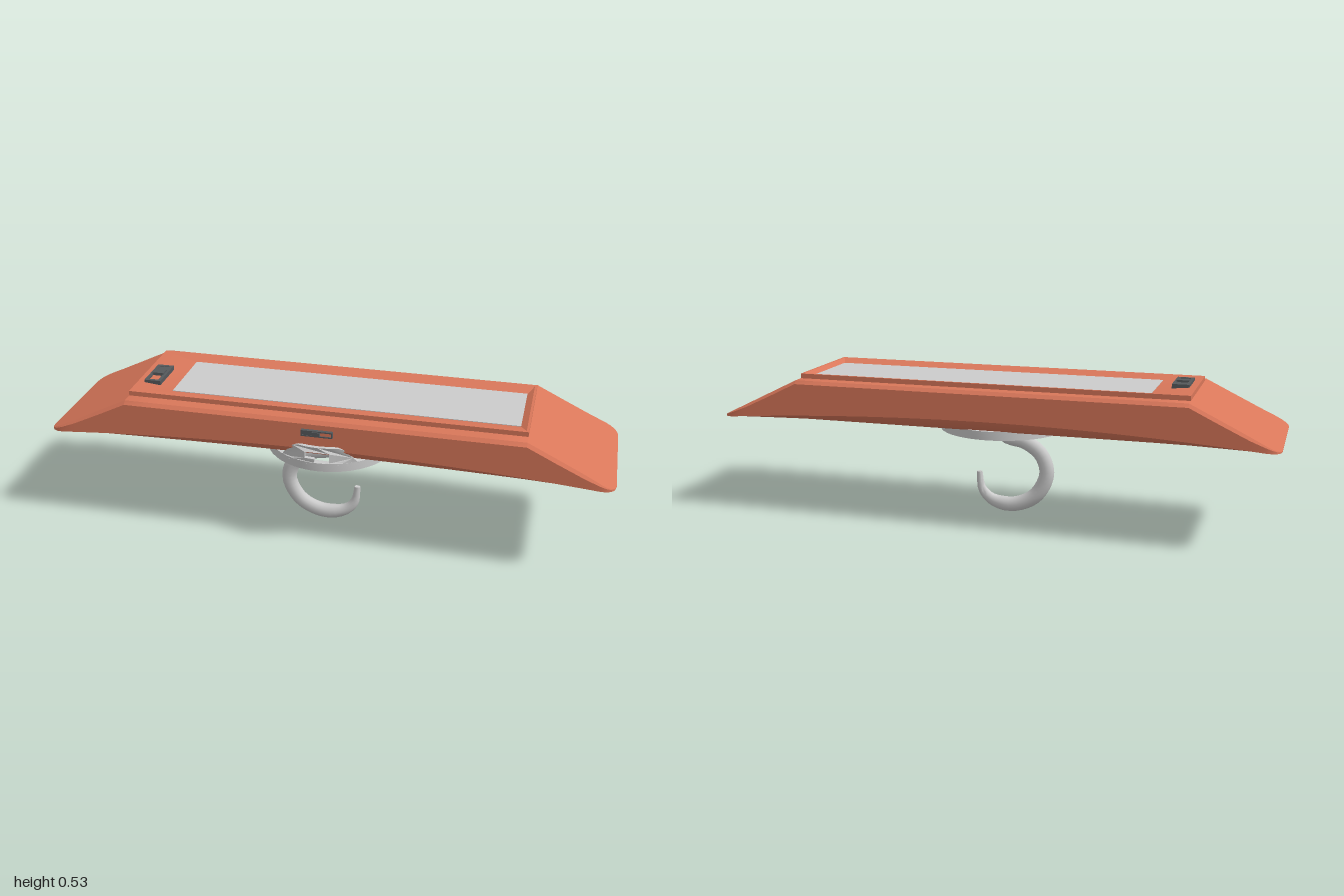
import * as THREE from 'three';
import { toCreasedNormals } from 'three/addons/utils/BufferGeometryUtils.js';

const paint = (color) => new THREE.MeshStandardMaterial({ color, side: THREE.DoubleSide });
const orange = paint(0xd9775a);
const dark = paint(0x55595c);
const grey = paint(0xcccccc);

function add(parent, name, geometry, material) {
  const mesh = new THREE.Mesh(geometry, material);
  mesh.name = name;
  parent.add(mesh);
  return mesh;
}

// Skin closed loops of equal point counts, optionally capping both ends
function loft(loops, caps, crease) {
  const n = loops[0].length;
  const index = [];
  for (let i = 0; i < loops.length - 1; i++) {
    for (let j = 0; j < n; j++) {
      const a = i * n + j, b = i * n + (j + 1) % n;
      index.push(a, b, a + n, b, b + n, a + n);
    }
  }
  if (caps) {
    const e = (loops.length - 1) * n;
    for (let j = 1; j < n - 1; j++) index.push(0, j + 1, j, e, e + j, e + j + 1);
  }
  const geo = new THREE.BufferGeometry();
  geo.setAttribute('position', new THREE.Float32BufferAttribute(loops.flat(2), 3));
  geo.setIndex(index);
  return toCreasedNormals(geo, crease);
}

// Housing: cross-sections along x, sloped ends, rounded corners, arched lower edges
function housingGeometry() {
  const half = [0, 0.15, 0.3, 0.45, 0.58, 0.7, 0.7001, 0.8, 0.9, 0.95, 0.97, 0.985, 0.995, 1];
  const xs = [...half.slice(1).reverse().map((x) => -x), ...half];
  const loops = xs.map((x) => {
    const a = Math.abs(x);
    const top = 0.353 + Math.min(0.147, 0.49 * (1 - a));
    const t = Math.max(0, (a - 0.95) / 0.05);
    const w = 0.24 - 0.05 * (1 - Math.sqrt(Math.max(0, 1 - t * t)));
    const lift = Math.min(0.045 * (1 - x * x), (top - 0.35) * 0.5);
    const r = Math.min(0.012, (top - 0.35) * 0.2);
    const side = [
      [w - r, top], [w, top - r], [w, 0.35 + lift], [w - 0.02, 0.35 + lift * 0.4], [w - 0.06, 0.35],
    ];
    const right = side.map(([z, y]) => [x, y, z - 0.01]);
    const left = side.map(([z, y]) => [x, y, -z - 0.01]).reverse();
    return [...left, ...right];
  });
  return loft(loops, true, 0.6);
}

// Raised bezel sinking to the panel
function bezelGeometry() {
  const rect = (x0, x1, z0, z1, y) => [[x0, y, z0], [x0, y, z1], [x1, y, z1], [x1, y, z0]];
  return loft([
    rect(-0.7, 0.7, -0.196, 0.176, 0.495),
    rect(-0.7, 0.7, -0.196, 0.176, 0.517),
    rect(-0.692, 0.692, -0.188, 0.168, 0.517),
    rect(-0.56, 0.67, -0.145, 0.115, 0.504),
  ], false, 0.3);
}

// Slide switch lying in the xy plane, raised along +z, long side along x
function slideSwitch(name, length, width, height) {
  const group = new THREE.Group();
  group.name = name;
  const l = length / 2, w = width / 2;
  const rim = width * 0.2;
  const shape = new THREE.Shape([[-l, -w], [l, -w], [l, w], [-l, w]].map((p) => new THREE.Vector2(...p)));
  shape.holes.push(new THREE.Path(
    [[-l + rim, -w + rim], [-l + rim, w - rim], [l - rim, w - rim], [l - rim, -w + rim]].map((p) => new THREE.Vector2(...p))));
  add(group, 'switchFrame', new THREE.ExtrudeGeometry(shape, { depth: height, bevelEnabled: false }), dark);
  add(group, 'switchSlot', new THREE.BoxGeometry(length - rim, width - rim, height * 0.7), orange).position.z = height * 0.35;
  add(group, 'switchRest', new THREE.BoxGeometry(l * 0.8, width - rim, height * 0.9), dark).position.set(-l * 0.5, 0, height * 0.45);
  add(group, 'switchKnob', new THREE.BoxGeometry(l * 0.5, width * 0.7, height * 1.3), dark).position.set(-l * 0.05, 0, height * 0.65);
  return group;
}

// Curved front tab with a slot, bent around the ring
function tabGeometry() {
  const R = 0.23, cut = 8;
  const pts = [];
  for (let i = 0; i <= cut; i++) pts.push(new THREE.Vector2(-0.14 + 0.28 * i / cut, 0.345));
  pts.push(new THREE.Vector2(0.12, 0.37), new THREE.Vector2(0.09, 0.405));
  for (let i = 0; i <= cut; i++) pts.push(new THREE.Vector2(0.07 - 0.14 * i / cut, 0.412));
  pts.push(new THREE.Vector2(-0.09, 0.405), new THREE.Vector2(-0.12, 0.37));
  const shape = new THREE.Shape(pts);
  shape.holes.push(new THREE.Path([
    [-0.045, 0.367], [-0.045, 0.39], [0.042, 0.39], [0.042, 0.355], [-0.01, 0.355], [-0.01, 0.367],
  ].map((p) => new THREE.Vector2(...p))));
  const geo = new THREE.ExtrudeGeometry(shape, { depth: 0.014, bevelEnabled: false }).toNonIndexed();
  const p = geo.attributes.position;
  for (let i = 0; i < p.count; i++) {
    const r = R - 0.014 + p.getZ(i);
    p.setZ(i, Math.sqrt(r * r - p.getX(i) ** 2));
  }
  return toCreasedNormals(geo, 0.5);
}

// Hook: tube along a curve, tapered towards its tip
function hookGeometry() {
  const path = [[0.01, 0.35], [0.01, 0.31], [-0.01, 0.285], [-0.08, 0.268], [-0.14, 0.225], [-0.162, 0.155],
    [-0.13, 0.08], [-0.085, 0.045], [-0.02, 0.028], [0.05, 0.043], [0.085, 0.08], [0.095, 0.145]];
  const curve = new THREE.CatmullRomCurve3(path.map(([x, y]) => new THREE.Vector3(x, y, 0)));
  const segs = 36, sides = 12;
  const geo = new THREE.TubeGeometry(curve, segs, 0.028, sides);
  const p = geo.attributes.position;
  const v = new THREE.Vector3();
  for (let i = 0; i < p.count; i++) {
    const ring = Math.floor(i / (sides + 1));
    const t = Math.min(ring, segs - 1) / (segs - 1);
    const c = curve.getPointAt(ring >= segs - 1 ? 1 : ring / segs);
    const c0 = curve.getPointAt(ring / segs);
    const k = ring === segs ? 0 : t > 0.78 ? 1 - 0.6 * (t - 0.78) / 0.22 : 1;
    v.fromBufferAttribute(p, i).sub(c0).multiplyScalar(k);
    p.setXYZ(i, c.x + v.x, c.y + v.y, v.z * 0.8);
  }
  return toCreasedNormals(geo, 0.7);
}

export function createModel() {
  const model = new THREE.Group();
  model.name = 'hookLamp';

  add(model, 'housing', housingGeometry(), orange);
  add(model, 'bezel', bezelGeometry(), orange);
  add(model, 'panel', new THREE.BoxGeometry(1.23, 0.01, 0.26), grey).position.set(0.055, 0.501, -0.015);

  // Switches on the top and the front
  const topSwitch = slideSwitch('topSwitch', 0.14, 0.06, 0.018);
  topSwitch.rotation.set(-Math.PI / 2, 0, -Math.PI / 2);
  topSwitch.position.set(-0.645, 0.507, 0.02);
  const frontSwitch = slideSwitch('frontSwitch', 0.11, 0.022, 0.014);
  frontSwitch.position.set(-0.003, 0.459, 0.228);
  model.add(topSwitch, frontSwitch);

  // Swivel ring under the housing
  const mount = new THREE.Group();
  mount.name = 'hookMount';
  mount.position.z = 0.02;
  model.add(mount);
  const band = [[0.216, 0.322], [0.23, 0.322], [0.23, 0.353], [0.216, 0.353], [0.216, 0.322]];
  const ring = new THREE.LatheGeometry(band.map((q) => new THREE.Vector2(...q)), 48);
  add(mount, 'swivelRing', toCreasedNormals(ring, 0.5), grey);
  add(mount, 'ringTab', tabGeometry(), grey);
  add(mount, 'hookFlange', new THREE.CylinderGeometry(0.06, 0.05, 0.018, 24), grey).position.set(0.01, 0.343, 0);
  add(mount, 'hook', hookGeometry(), grey);
  return model;
}
